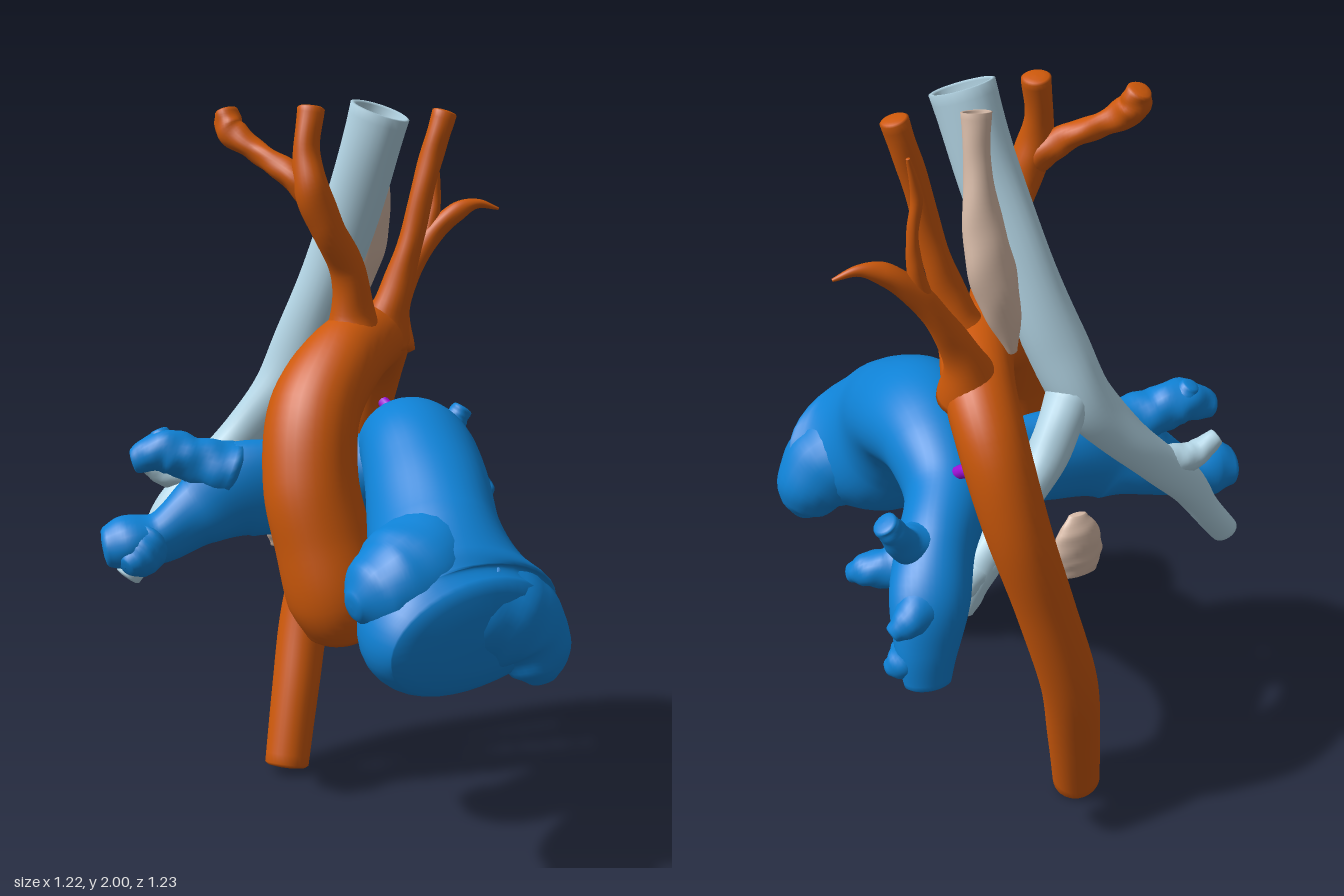
import * as THREE from 'three';

const mat = (color) => new THREE.MeshStandardMaterial({ color, roughness: 0.7 });
const V = (x, y, z) => new THREE.Vector3(x, y, z);

// Organic vessel: smooth loft through [x, y, z, r] or [x, y, z, rSide, rUp].
// hint = direction of rSide; open = hollow mouth at the first point; wobble = uneven wall
function vessel(name, material, pts, { hint = V(1, 0, 0), open = false, wobble = 0.02, sides = 24 } = {}) {
  const path = new THREE.CatmullRomCurve3(pts.map((p) => V(p[0], p[1], p[2])));
  const radii = new THREE.CatmullRomCurve3(pts.map((p) => V(p[3], p[4] ?? p[3], 0)), false, 'catmullrom', 0.5);
  const n = (pts.length - 1) * 8;

  // each ring: parameter, radius scale, shift along the path in radii
  const rings = open
    ? [[0, 0.01, 1.5], [0, 0.8, 1.5], [0, 0.82, 0.05], [0, 0.92, -0.03]]
    : [[0, 0.01, -0.2], [0, 0.5, -0.18], [0, 0.85, -0.12]];
  for (let i = 0; i <= n; i++) rings.push([i / n, 1, 0]);
  rings.push([1, 0.85, 0.12], [1, 0.5, 0.18], [1, 0.01, 0.2]);

  const pos = [], idx = [];
  rings.forEach(([t, scale, shift], i) => {
    const T = path.getTangent(t), R = radii.getPoint(t);
    const side = hint.clone().addScaledVector(T, -hint.dot(T)).normalize();
    const up = T.clone().cross(side);
    const c = path.getPoint(t).addScaledVector(T, shift * Math.min(R.x, R.y));
    for (let j = 0; j < sides; j++) {
      const a = (j / sides) * Math.PI * 2;
      const k = scale * (1 + wobble * (Math.sin(3 * a + t * 17) + Math.sin(2 * a - t * 29)));
      const p = c.clone().addScaledVector(side, Math.cos(a) * R.x * k).addScaledVector(up, Math.sin(a) * R.y * k);
      pos.push(p.x, p.y, p.z);
      if (i < rings.length - 1) {
        const q = i * sides + j, r = i * sides + ((j + 1) % sides);
        idx.push(q, r, q + sides, r, r + sides, q + sides);
      }
    }
  });
  const g = new THREE.BufferGeometry();
  g.setAttribute('position', new THREE.Float32BufferAttribute(pos, 3));
  g.setIndex(idx);
  g.computeVertexNormals();
  const mesh = new THREE.Mesh(g, material);
  mesh.name = name;
  return mesh;
}

export function createModel() {
  const model = new THREE.Group();
  model.name = 'heartVessels';
  const orange = mat(0xcc580a), blue = mat(0x0f82d6), pale = mat(0xb4d6e6), tan = mat(0xd8bba8), purple = mat(0x9c10d6);
  const Z = V(0, 0, 1);
  const group = (name, ...meshes) => {
    const g = new THREE.Group();
    g.name = name;
    g.add(...meshes);
    model.add(g);
  };

  // Aorta: root, arch and descending part, with the neck and arm arteries
  group('aorta',
    vessel('aortaTube', orange, [
      [-0.04, 0.61, 0.09, 0.1, 0.11], [-0.06, 0.7, 0.1, 0.135, 0.13], [-0.09, 0.85, 0.07, 0.13],
      [-0.11, 1.0, 0.03, 0.13], [-0.08, 1.18, -0.03, 0.125], [0.03, 1.31, -0.11, 0.11],
      [0.14, 1.345, -0.21, 0.095], [0.21, 1.32, -0.34, 0.09], [0.23, 1.22, -0.45, 0.085],
      [0.2, 1.02, -0.515, 0.082], [0.12, 0.75, -0.528, 0.076], [0.04, 0.48, -0.515, 0.074],
      [-0.01, 0.25, -0.46, 0.072], [-0.055, 0.03, -0.405, 0.066]], { wobble: 0.012, sides: 32 }),
    vessel('aorticSinusFront', orange, [[0.0, 0.8, 0.11, 0.07], [-0.02, 0.71, 0.14, 0.09], [-0.03, 0.66, 0.16, 0.06]]),
    vessel('aorticSinusBack', orange, [[-0.08, 0.75, 0.03, 0.06], [-0.07, 0.65, 0.03, 0.075], [-0.06, 0.57, 0.03, 0.05]]),
    vessel('brachiocephalicArtery', orange, [
      [0.05, 1.31, -0.12, 0.1], [0.06, 1.42, -0.13, 0.064], [0.04, 1.55, -0.11, 0.048],
      [-0.03, 1.67, -0.08, 0.046], [-0.07, 1.77, -0.08, 0.048], [-0.08, 1.87, -0.1, 0.036], [-0.06, 1.98, -0.12, 0.036]]),
    vessel('rightSubclavianArtery', orange, [
      [-0.07, 1.76, -0.09, 0.04], [-0.13, 1.82, -0.14, 0.034], [-0.19, 1.87, -0.21, 0.03],
      [-0.24, 1.92, -0.265, 0.04], [-0.25, 1.97, -0.285, 0.032]], { hint: Z, wobble: 0.04 }),
    vessel('leftCarotidArtery', orange, [
      [0.17, 1.34, -0.22, 0.085], [0.2, 1.45, -0.2, 0.05], [0.25, 1.62, -0.19, 0.035],
      [0.3, 1.82, -0.19, 0.033], [0.345, 1.965, -0.19, 0.034]]),
    vessel('leftSubclavianArtery', orange, [
      [0.23, 1.31, -0.35, 0.09], [0.265, 1.42, -0.37, 0.05], [0.32, 1.52, -0.38, 0.035],
      [0.39, 1.62, -0.38, 0.031], [0.46, 1.68, -0.37, 0.027], [0.52, 1.7, -0.365, 0.014], [0.58, 1.685, -0.355, 0.004]], { hint: Z }),
    vessel('leftVertebralArtery', orange, [
      [0.36, 1.57, -0.38, 0.026], [0.39, 1.68, -0.385, 0.02], [0.395, 1.77, -0.385, 0.014],
      [0.385, 1.86, -0.39, 0.014], [0.41, 1.96, -0.405, 0.005]]));

  // Pulmonary trunk, widening to the front, with right and left branches
  group('pulmonaryArtery',
    vessel('pulmonaryTrunk', blue, [
      [0.16, 0.7, 0.55, 0.25, 0.155], [0.145, 0.715, 0.49, 0.275, 0.185], [0.14, 0.76, 0.41, 0.24, 0.21],
      [0.15, 0.87, 0.29, 0.18, 0.19], [0.18, 0.99, 0.15, 0.165, 0.155], [0.205, 1.05, 0, 0.16, 0.15],
      [0.225, 1.04, -0.14, 0.14, 0.14], [0.27, 0.99, -0.28, 0.11, 0.115], [0.36, 0.93, -0.4, 0.1, 0.1],
      [0.42, 0.85, -0.49, 0.1, 0.085], [0.45, 0.75, -0.53, 0.085, 0.06], [0.46, 0.65, -0.55, 0.06, 0.045]],
    { wobble: 0.015, sides: 40 }),
    vessel('trunkRightLobe', blue, [
      [0.16, 0.86, 0.33, 0.14], [0.06, 0.835, 0.41, 0.155], [-0.03, 0.81, 0.455, 0.14],
      [-0.1, 0.8, 0.475, 0.1], [-0.14, 0.79, 0.485, 0.04]], { hint: V(0, 1, 0), wobble: 0.012 }),
    vessel('trunkLeftLobe', blue, [
      [0.18, 0.76, 0.43, 0.16], [0.28, 0.71, 0.445, 0.145], [0.345, 0.65, 0.455, 0.115],
      [0.37, 0.58, 0.47, 0.08], [0.38, 0.545, 0.475, 0.04]], { wobble: 0.012 }),
    vessel('rightPulmonaryArtery', blue, [
      [0.2, 1.0, -0.12, 0.1, 0.1], [0.05, 0.96, -0.16, 0.085, 0.12], [-0.1, 0.95, -0.18, 0.075, 0.13],
      [-0.25, 0.94, -0.2, 0.08, 0.14], [-0.36, 0.88, -0.22, 0.08, 0.1], [-0.47, 0.82, -0.215, 0.07, 0.07],
      [-0.56, 0.81, -0.22, 0.085, 0.075], [-0.62, 0.8, -0.23, 0.065, 0.055]], { hint: Z, wobble: 0.025 }),
    vessel('rightUpperBranch', blue, [
      [-0.27, 0.99, -0.2, 0.09], [-0.37, 1.03, -0.22, 0.065], [-0.45, 1.055, -0.24, 0.06], [-0.53, 1.03, -0.26, 0.035]], { hint: Z, wobble: 0.03 }),
    vessel('rightTopTwig', blue, [[-0.41, 1.03, -0.23, 0.05], [-0.45, 1.08, -0.25, 0.042], [-0.46, 1.11, -0.26, 0.025]], { hint: Z }),
    vessel('rightLowerTwig', blue, [[-0.5, 0.82, -0.2, 0.06], [-0.54, 0.78, -0.17, 0.06], [-0.58, 0.76, -0.15, 0.03]], { hint: Z }),
    vessel('leftUpperTwig', blue, [[0.38, 0.95, -0.4, 0.07], [0.46, 0.99, -0.44, 0.045], [0.5, 1.05, -0.46, 0.035], [0.52, 1.08, -0.46, 0.032]], { hint: Z }),
    vessel('leftMiddleTwig', blue, [[0.36, 0.91, -0.37, 0.08], [0.46, 0.88, -0.36, 0.055], [0.52, 0.87, -0.33, 0.042], [0.55, 0.85, -0.3, 0.022]], { hint: Z, wobble: 0.03 }),
    vessel('leftLowerTwig', blue, [[0.42, 0.8, -0.5, 0.08], [0.48, 0.74, -0.52, 0.06], [0.52, 0.71, -0.52, 0.04], [0.54, 0.69, -0.5, 0.02]], { hint: Z, wobble: 0.03 }),
    vessel('leftOuterTwig', blue, [[0.42, 0.86, -0.48, 0.08], [0.49, 0.84, -0.53, 0.05], [0.54, 0.81, -0.53, 0.022]], { hint: Z }));

  // Windpipe splitting into the two bronchi
  group('windpipe',
    vessel('trachea', pale, [
      [0.12, 1.975, -0.08, 0.086, 0.064], [0.08, 1.78, -0.135, 0.08, 0.064], [0.025, 1.55, -0.21, 0.08, 0.066],
      [-0.035, 1.35, -0.275, 0.08, 0.07], [-0.095, 1.2, -0.315, 0.076, 0.074], [-0.19, 1.08, -0.34, 0.062],
      [-0.3, 0.97, -0.35, 0.056], [-0.4, 0.87, -0.35, 0.052], [-0.47, 0.77, -0.35, 0.042],
      [-0.54, 0.68, -0.345, 0.038]], { open: true, hint: V(Math.SQRT1_2, 0, Math.SQRT1_2) }),
    vessel('rightUpperBronchus', pale, [[-0.32, 0.96, -0.35, 0.045], [-0.41, 0.96, -0.36, 0.038], [-0.48, 1.0, -0.365, 0.024]], { hint: Z }),
    vessel('leftBronchus', pale, [
      [-0.06, 1.22, -0.32, 0.06], [0.03, 1.08, -0.36, 0.054], [0.15, 0.95, -0.39, 0.05],
      [0.24, 0.85, -0.41, 0.05], [0.28, 0.78, -0.415, 0.042], [0.3, 0.73, -0.415, 0.032]]),
    vessel('leftUpperBronchus', pale, [[0.22, 0.86, -0.41, 0.045], [0.31, 0.81, -0.43, 0.038], [0.37, 0.77, -0.445, 0.022]]));

  // Gullet: upper length and a separate short lower piece
  group('gullet',
    vessel('upperGullet', tan, [
      [0.165, 1.975, -0.25, 0.038, 0.03], [0.175, 1.86, -0.27, 0.032], [0.175, 1.72, -0.3, 0.05, 0.038],
      [0.165, 1.6, -0.325, 0.06, 0.042], [0.14, 1.49, -0.34, 0.045, 0.03], [0.12, 1.39, -0.345, 0.012]], { open: true }),
    vessel('lowerGullet', tan, [
      [-0.05, 0.895, -0.385, 0.025, 0.012], [-0.05, 0.845, -0.39, 0.06, 0.028],
      [-0.05, 0.77, -0.39, 0.07, 0.03], [-0.05, 0.72, -0.395, 0.052, 0.02]]));

  // Short link between the pulmonary artery and the aorta
  model.add(vessel('arterialDuct', purple, [
    [0.27, 1.06, -0.31, 0.018], [0.26, 1.1, -0.36, 0.018], [0.245, 1.13, -0.42, 0.018]], { sides: 12 }));

  return model;
}
